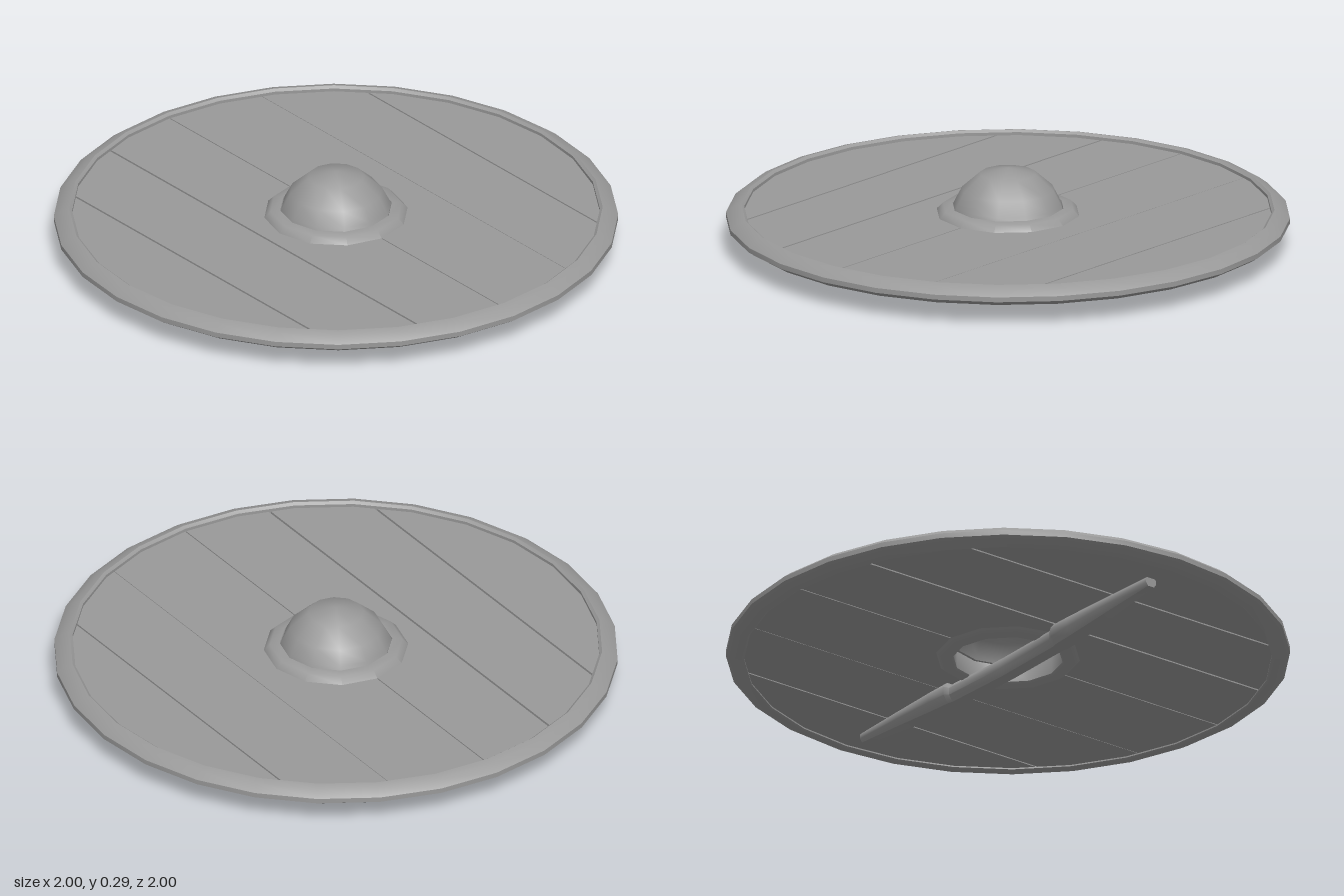
import * as THREE from 'three';
import { toCreasedNormals } from 'three/addons/utils/BufferGeometryUtils.js';

const grey = new THREE.MeshStandardMaterial({ color: 0x999999 });
grey.name = 'grey';

function part(name, geometry, crease = 0.8) {
  const mesh = new THREE.Mesh(toCreasedNormals(geometry, crease), grey);
  mesh.name = name;
  return mesh;
}

// Revolve a profile of [radius, y] pairs, listed counter-clockwise
const lathe = (profile, sides) =>
  new THREE.LatheGeometry(profile.map(([r, y]) => new THREE.Vector2(r, y)), sides);

// Corner points of a regular polygon, starting on the +x axis
const ring = (radius, sides) => Array.from({ length: sides }, (_, i) => {
  const a = (i / sides) * Math.PI * 2;
  return [radius * Math.cos(a), radius * Math.sin(a)];
});

// One board: the slice of the round panel between x0 and x1
function plank(x0, x1, notchSide) {
  const outer = ring(0.945, 28).filter(p => p[1] >= -1e-6).sort((a, b) => a[0] - b[0]);
  const edge = x => {
    const i = Math.max(1, outer.findIndex(p => p[0] >= x));
    const [a, b] = [outer[i - 1], outer[i]];
    return a[1] + (b[1] - a[1]) * (x - a[0]) / (b[0] - a[0]);
  };
  const xs = [x0, ...outer.map(p => p[0]).filter(x => x > x0 + 1e-4 && x < x1 - 1e-4), x1];
  const top = xs.map(x => new THREE.Vector2(x, edge(x)));
  const bottom = xs.map(x => new THREE.Vector2(x, -edge(x)));
  // Half of the hand hole, cut into the edge next to the centre seam
  const arc = Array.from({ length: 7 }, (_, i) => {
    const a = Math.PI / 2 - (i / 6) * Math.PI;
    const x = notchSide > 0 ? Math.max(x0, 0.21 * Math.cos(a)) : Math.min(x1, -0.21 * Math.cos(a));
    return new THREE.Vector2(x, 0.21 * Math.sin(a));
  });
  const points = [...bottom];
  if (notchSide < 0) points.push(...arc.slice().reverse());
  points.push(...top.reverse());
  if (notchSide > 0) points.push(...arc);
  const geometry = new THREE.ExtrudeGeometry(new THREE.Shape(points), { depth: 0.04, bevelEnabled: false });
  return geometry.rotateX(-Math.PI / 2).translate(0, 0.085, 0);
}

// Bar lofted along x from sections [x, half width, bottom y, top y]
function bar(sections) {
  const outline = [[-0.7, 1], [-1, 0.75], [-1, 0.35], [-0.6, 0], [0.6, 0], [1, 0.35], [1, 0.75], [0.7, 1]];
  const n = outline.length, positions = [], index = [];
  for (const [x, w, y0, y1] of sections)
    for (const [u, v] of outline) positions.push(x, y0 + (y1 - y0) * v, w * u);
  for (let s = 0; s < sections.length - 1; s++)
    for (let i = 0; i < n; i++) {
      const a = s * n + i, b = s * n + (i + 1) % n;
      index.push(a, a + n, b, b, a + n, b + n);
    }
  const last = (sections.length - 1) * n;
  for (let i = 1; i < n - 1; i++) {
    index.push(0, i, i + 1);
    index.push(last, last + i + 1, last + i);
  }
  const geometry = new THREE.BufferGeometry();
  geometry.setAttribute('position', new THREE.Float32BufferAttribute(positions, 3));
  geometry.setIndex(index);
  return geometry;
}

export function createModel() {
  const shield = new THREE.Group();
  shield.name = 'roundShield';

  // Rim
  shield.add(part('rim', lathe([
    [0.935, 0.08], [0.945, 0.073], [0.97, 0.077], [1, 0.096], [1, 0.114],
    [0.97, 0.137], [0.945, 0.144], [0.935, 0.136], [0.935, 0.08],
  ], 28)));

  // Boards, separated by narrow gaps
  const planks = new THREE.Group();
  planks.name = 'planks';
  const seams = [-0.94, -0.64, -0.32, 0, 0.36, 0.67, 0.94];
  const gaps = [0, 0.004, 0.004, 0.002, 0.001, 0.003, 0];
  for (let i = 0; i < 6; i++) {
    const notch = i === 2 ? -1 : i === 3 ? 1 : 0;
    planks.add(part('plank' + (i + 1), plank(seams[i] + gaps[i], seams[i + 1] - gaps[i + 1], notch), 0.5));
  }
  shield.add(planks);

  // Flange around the hand hole
  shield.add(part('bossFlange', lathe([
    [0.195, 0.075], [0.205, 0.066], [0.235, 0.066], [0.257, 0.085], [0.257, 0.125],
    [0.235, 0.147], [0.2, 0.15], [0.195, 0.14], [0.195, 0.075],
  ], 12)));

  // Hollow dome
  shield.add(part('bossDome', lathe([
    [0.185, 0.14], [0.2, 0.14], [0.192, 0.16], [0.165, 0.212], [0.1, 0.27], [0, 0.29],
    [0, 0.278], [0.094, 0.259], [0.155, 0.205], [0.18, 0.16], [0.185, 0.14],
  ], 12), 1));

  // Handle across the back: slim grip in the middle, tapering arms
  const half = [[0.29, 0.04, 0.009, 0.075], [0.31, 0.049, 0.009, 0.088], [0.4, 0.048, 0.014, 0.088],
    [0.6, 0.037, 0.032, 0.088], [0.83, 0.022, 0.052, 0.088]];
  const mirrored = half.map(([x, ...rest]) => [-x, ...rest]).reverse();
  shield.add(part('handle', bar([...mirrored, [0, 0.038, 0.004, 0.07], ...half]), 0.7));

  return shield;
}
